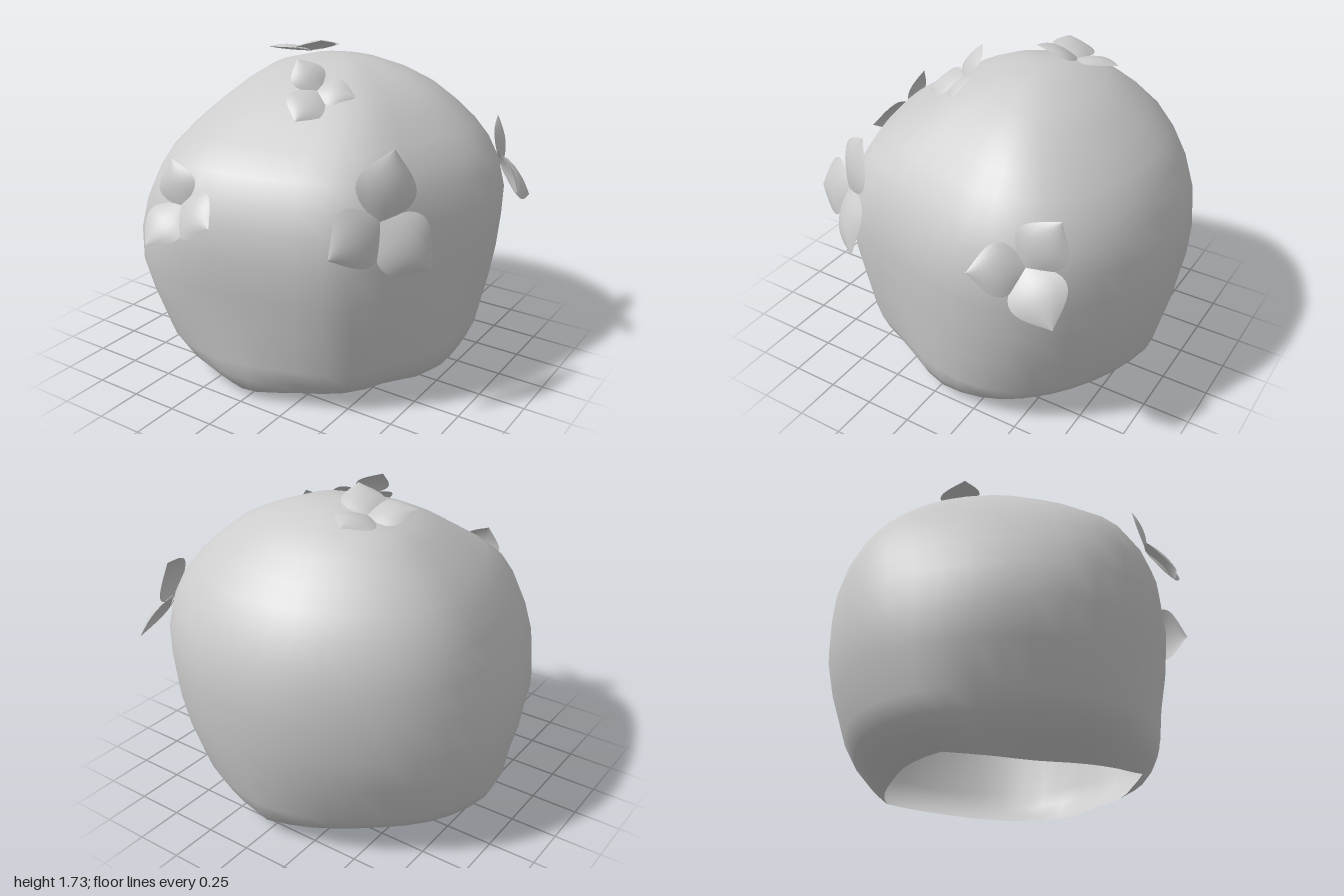
import * as THREE from 'three';

const material = new THREE.MeshStandardMaterial({ color: 0xcccccc, side: THREE.DoubleSide });

// Smooth surface from a vertex list and an index list
function surface(name, points, index) {
  const geometry = new THREE.BufferGeometry();
  geometry.setAttribute('position', new THREE.Float32BufferAttribute(points, 3));
  geometry.setIndex(index);
  geometry.computeVertexNormals();
  const mesh = new THREE.Mesh(geometry, material);
  mesh.name = name;
  return mesh;
}

// Plan outline of the bush [x, z], going back, left, front, right
const PLAN = [
  [0, -1], [0.28, -0.97], [0.5, -0.88], [0.67, -0.76], [0.82, -0.56], [0.88, -0.28], [0.82, 0.05],
  [0.74, 0.3], [0.66, 0.53], [0.53, 0.67], [0.3, 0.76], [0.05, 0.82], [-0.25, 0.86], [-0.5, 0.82],
  [-0.69, 0.7], [-0.82, 0.5], [-0.93, 0.2], [-0.97, -0.15], [-0.94, -0.37], [-0.84, -0.58],
  [-0.63, -0.79], [-0.3, -0.96],
];

// Heights with the reach to each side: [y, -x, +x, front z, back z, corner pinch]
const RINGS = [
  [0.02, -0.70, 0.73, 0.70, -0.77, 0.17],
  [0.07, -0.82, 0.785, 0.76, -0.83, 0.12],
  [0.14, -0.885, 0.815, 0.79, -0.88, 0.08],
  [0.23, -0.92, 0.835, 0.80, -0.915, 0.05],
  [0.45, -0.955, 0.85, 0.81, -0.96, 0.015],
  [0.63, -0.97, 0.865, 0.835, -0.985, 0],
  [0.82, -0.945, 0.88, 0.855, -1.0, 0],
  [0.98, -0.90, 0.88, 0.84, -0.99, 0],
  [1.11, -0.85, 0.845, 0.79, -0.95, 0],
  [1.22, -0.79, 0.79, 0.72, -0.895, 0],
  [1.32, -0.72, 0.71, 0.58, -0.825, 0],
  [1.42, -0.62, 0.61, 0.42, -0.72, 0],
  [1.51, -0.51, 0.50, 0.28, -0.61, 0],
  [1.58, -0.40, 0.36, 0.14, -0.50, 0],
  [1.635, -0.20, 0.21, -0.03, -0.36, 0],
];

// Rounded bush body, open underneath
function makeBody() {
  const curve = new THREE.CatmullRomCurve3(PLAN.map(([x, z]) => new THREE.Vector3(x, 0, z)), true);
  const unit = curve.getSpacedPoints(40).slice(0, 40).map((p) => [
    p.x / (p.x > 0 ? 0.88 : 0.97), p.z / (p.z > 0 ? 0.86 : 1)]);
  const n = unit.length, points = [], index = [];
  RINGS.forEach(([y, xl, xr, zf, zb, pinch], i) => {
    const rise = Math.max(0, (y - 0.8) / 0.86);
    const cz = -0.2 * rise;
    for (const [ux, uz] of unit) {
      // Corners are drawn in low down, most at the front right
      const corner = Math.abs(Math.sin(2 * Math.atan2(uz, ux)));
      const k = 1 - pinch * corner * (ux < 0 && uz > 0 ? 1.7 : 1);
      // The right side of the crown leans back
      const lean = ux < 0 ? 0.05 * Math.sin(Math.PI * rise) * ux * (1 - Math.abs(uz)) : 0;
      // The rim dips slightly at the front right corner
      const dip = i === 0 && ux < 0.02 && uz > -0.02 ? 0.02 : 0;
      points.push(k * ux * (ux > 0 ? xr : -xl), y - dip, cz + lean + k * uz * (uz > 0 ? zf - cz : cz - zb));
    }
  });
  const apex = RINGS.length * n;
  points.push(0, 1.66, -0.2);
  for (let i = 0; i < RINGS.length; i++) {
    for (let j = 0; j < n; j++) {
      const a = i * n + j, b = i * n + (j + 1) % n;
      if (i === RINGS.length - 1) index.push(a, apex, b);
      else index.push(a, a + n, b + n, a, b + n, b);
    }
  }
  return surface('bushBody', points, index);
}

// One puffed, pointed petal from the flower centre to its tip
function makePetal(center, tip, normal) {
  const rows = 12, cols = 6, points = [], index = [];
  const along = tip.clone().sub(center), length = along.length();
  const side = new THREE.Vector3().crossVectors(normal, along).normalize();
  const up = new THREE.Vector3().crossVectors(along, side).normalize();
  for (let i = 0; i <= rows; i++) {
    const s = i / rows;
    const half = 0.45 * length * (0.2 * (1 - s) + 0.93 * Math.sin(Math.PI * s ** 0.9) ** 1.1);
    for (let j = 0; j <= cols; j++) {
      const t = (j / cols) * 2 - 1;
      const p = center.clone().addScaledVector(along, s).addScaledVector(side, t * half)
        .addScaledVector(up, 0.1 * length * Math.sin(Math.PI * s) * (1 - t * t));
      points.push(p.x, p.y, p.z);
      if (i < rows && j < cols) {
        const a = i * (cols + 1) + j, d = a + cols + 1;
        index.push(a, d, d + 1, a, d + 1, a + 1);
      }
    }
  }
  return surface('petal', points, index);
}

// Flowers: centre followed by the three petal tips
const FLOWERS = {
  frontFlower: [[-0.26, 1.06, 0.835], [-0.345, 1.27, 0.79], [-0.01, 1.02, 0.93], [-0.36, 0.88, 1.0]],
  leftFrontFlower: [[0.68, 1.08, 0.53], [0.68, 1.40, 0.41], [0.88, 0.83, 0.38], [0.575, 0.96, 0.81]],
  leftBackFlower: [[0.79, 1.07, -0.58], [0.70, 1.31, -0.71], [0.965, 1.07, -0.37], [0.89, 0.86, -0.78]],
  upperFlower: [[0.11, 1.55, 0.2], [-0.03, 1.69, 0.17], [0.30, 1.53, 0.14], [0.12, 1.44, 0.41]],
  topFlower: [[-0.24, 1.635, -0.27], [-0.245, 1.64, -0.50], [-0.43, 1.66, -0.12], [-0.08, 1.73, -0.12]],
};

function makeFlower(name, rows) {
  const [center, ...tips] = rows.map((p) => new THREE.Vector3(...p));
  const normal = new THREE.Triangle(...tips).getNormal(new THREE.Vector3());
  if (normal.dot(center.clone().sub(new THREE.Vector3(0, 0.8, 0))) < 0) normal.negate();
  const flower = new THREE.Group();
  flower.name = name;
  for (const tip of tips) flower.add(makePetal(center, tip, normal));
  return flower;
}

export function createModel() {
  const model = new THREE.Group();
  model.name = 'floweringBush';
  model.add(makeBody());
  for (const [name, rows] of Object.entries(FLOWERS)) model.add(makeFlower(name, rows));
  return model;
}
